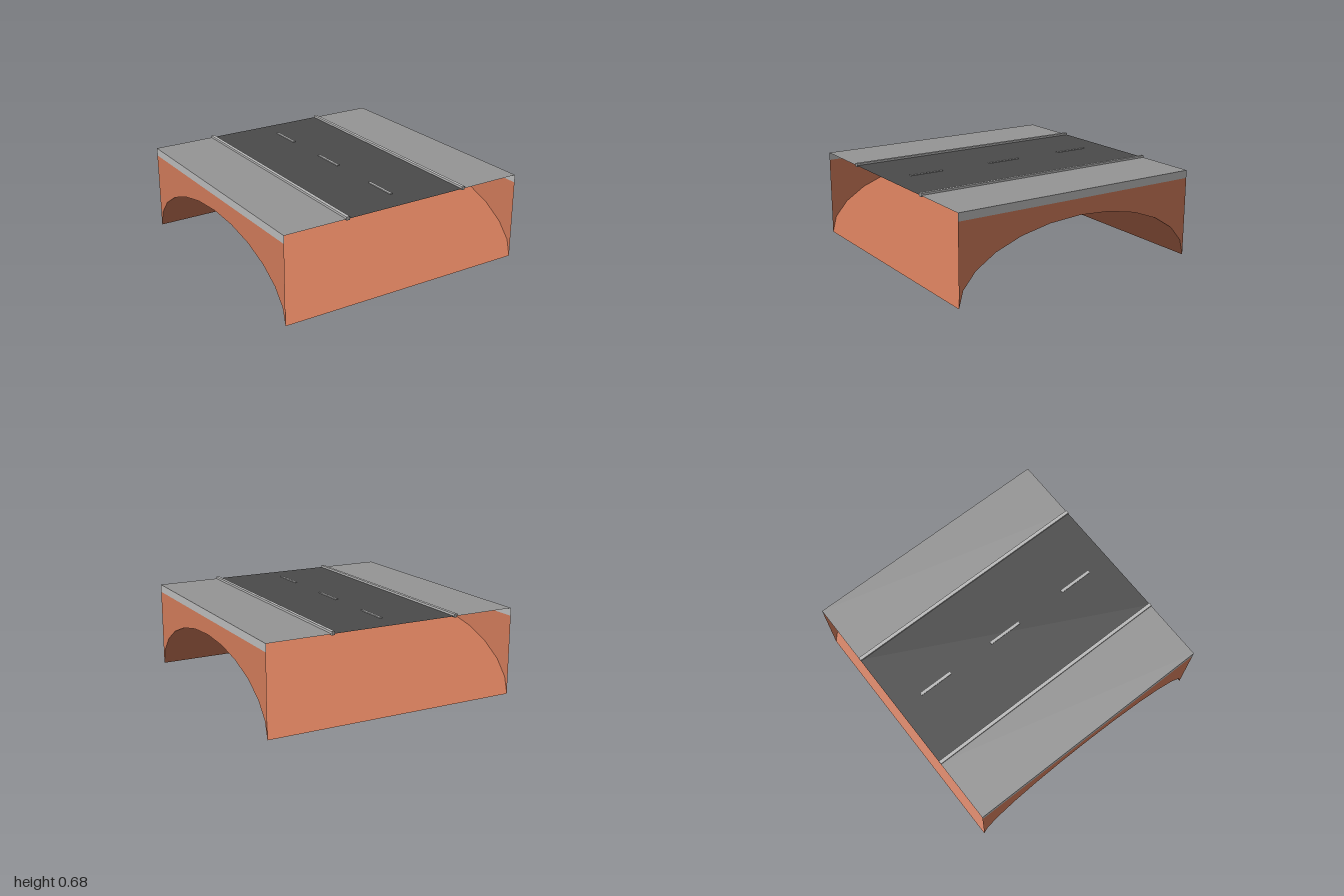
import * as THREE from 'three';

const DECK = 0.667;   // deck level
const BAND = 0.607;   // underside of the edge band
const RISE = 0.485;   // height of the arch
const SEGMENTS = 12;

const material = (name, color) => {
  const m = new THREE.MeshStandardMaterial({ color, side: THREE.DoubleSide });
  m.name = name;
  return m;
};

export function createModel() {
  const bridge = new THREE.Group();
  bridge.name = 'bridge';

  const brick = material('terracotta', 0xcc7858);
  const paving = material('paving grey', 0x949494);
  const concrete = material('light grey', 0xb8b8b8);
  const asphalt = material('asphalt', 0x4a4a4a);

  const add = (name, geometry, mat, x = 0, y = 0, z = 0) => {
    const mesh = new THREE.Mesh(geometry, mat);
    mesh.name = name;
    mesh.position.set(x, y, z);
    bridge.add(mesh);
  };

  // Arched vault: a sheet bent along a half ellipse, shaded as one even soffit
  const vault = new THREE.PlaneGeometry(2, 2, 1, SEGMENTS).rotateX(Math.PI / 2);
  const p = vault.attributes.position;
  for (let i = 0; i < p.count; i++) {
    const angle = p.getZ(i) * Math.PI / 2;
    p.setY(i, RISE * Math.cos(angle));
    p.setZ(i, Math.sin(angle));
  }
  add('archVault', vault, brick);

  // Side wall outline with the arch cut out of its lower edge
  const outline = new THREE.Shape();
  outline.moveTo(-1, BAND);
  for (let i = 0; i <= SEGMENTS; i++) {
    const angle = Math.PI * (1 - i / SEGMENTS);
    outline.lineTo(Math.cos(angle), RISE * Math.sin(angle));
  }
  outline.lineTo(1, BAND);
  outline.closePath();

  // Walls, edge bands, sidewalks and curbs on both sides
  for (const [side, s] of [['left', 1], ['right', -1]]) {
    const turn = s * Math.PI / 2;
    add(`${side}Wall`, new THREE.ShapeGeometry(outline).rotateY(turn), brick, s);
    add(`${side}EdgeBand`, new THREE.PlaneGeometry(2, DECK - BAND).rotateY(turn),
      concrete, s, (DECK + BAND) / 2);
    add(`${side}Sidewalk`, new THREE.PlaneGeometry(0.5, 2).rotateX(-Math.PI / 2),
      paving, s * 0.75, DECK);
    add(`${side}Curb`, new THREE.BoxGeometry(0.026, 0.026, 2), concrete, s * 0.5, 0.67);
  }

  // Road deck
  add('road', new THREE.PlaneGeometry(1, 2).rotateX(-Math.PI / 2), asphalt, 0, DECK);

  // Centre line dashes
  for (const z of [-0.665, -0.015, 0.67]) {
    add('centreDash', new THREE.BoxGeometry(0.02, 0.006, 0.27), concrete, 0, DECK + 0.003, z);
  }

  return bridge;
}
